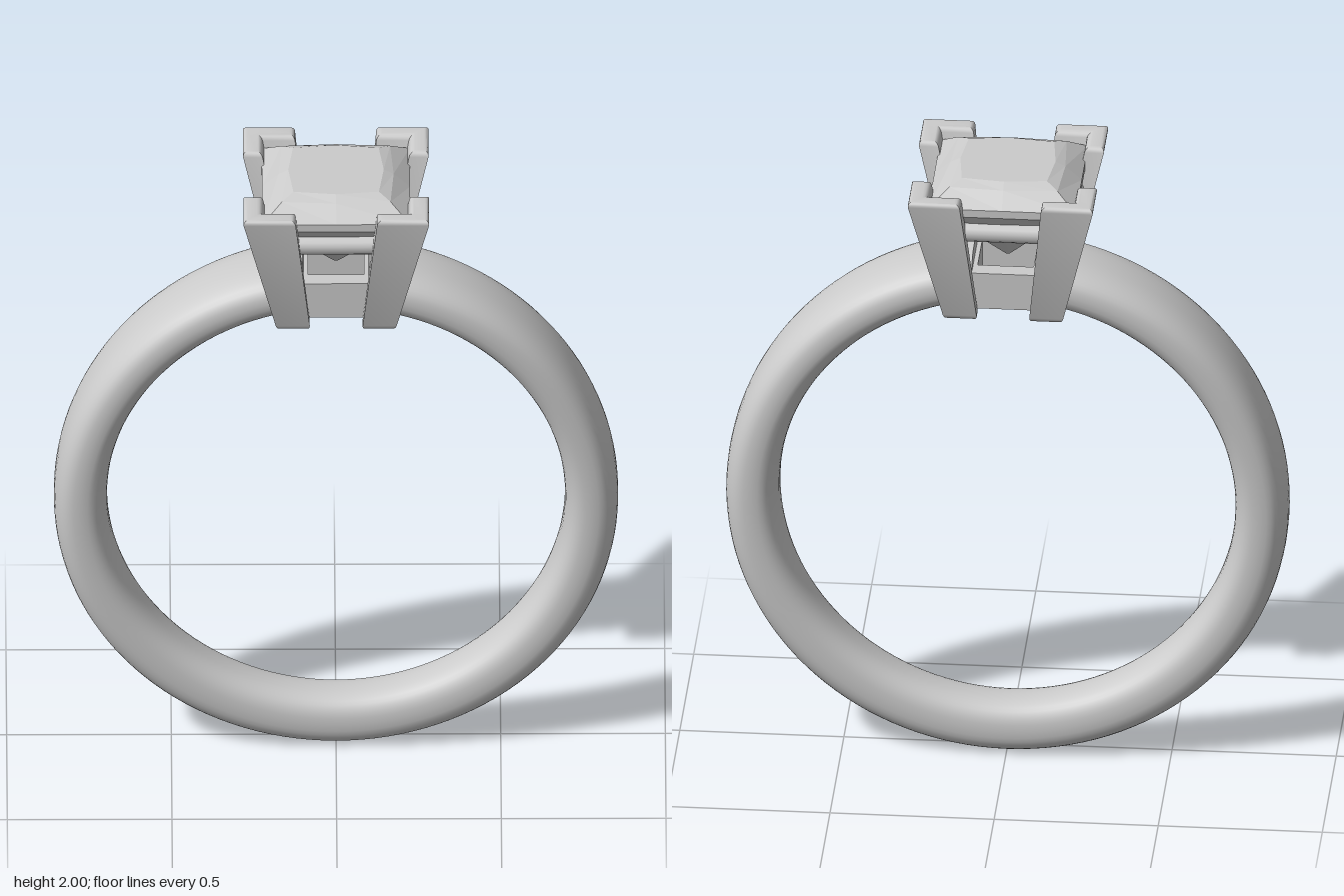
import * as THREE from 'three';
import { toCreasedNormals } from 'three/addons/utils/BufferGeometryUtils.js';

const metal = new THREE.MeshStandardMaterial({ color: 0xcccccc });
const facet = new THREE.MeshStandardMaterial({ color: 0xcccccc, flatShading: true });

// Skins a row of equal-sized cross-sections (arrays of Vector3) and caps both ends.
function loft(rings) {
  const n = rings[0].length, last = rings.length - 1;
  const points = rings.flat(), index = [];
  for (let i = 0; i < last; i++) {
    for (let j = 0; j < n; j++) {
      const k = (j + 1) % n;
      const a = i * n + j, b = i * n + k, c = a + n, d = b + n;
      index.push(a, b, c, b, d, c);
    }
  }
  [0, last].forEach((r) => {
    const centre = new THREE.Vector3();
    rings[r].forEach((p) => centre.addScaledVector(p, 1 / n));
    const m = points.push(centre) - 1;
    for (let j = 0; j < n; j++) {
      const a = r * n + j, b = r * n + (j + 1) % n;
      if (r === 0) index.push(m, b, a);
      else index.push(m, a, b);
    }
  });
  const geo = new THREE.BufferGeometry().setFromPoints(points);
  geo.setIndex(index);
  return geo;
}

// Band: rounded section, wider toward the top, open beneath the setting.
function bandGeometry() {
  const rings = [], steps = 128, sides = 36, gap = 0.12;
  const soft = (v) => Math.sign(v) * Math.pow(Math.abs(v), 0.77);
  for (let i = 0; i <= steps; i++) {
    const a = gap + (i / steps) * (2 * Math.PI - 2 * gap);
    const inner = new THREE.Vector3(0.695 * Math.sin(a), 0.865 + 0.695 * Math.cos(a), 0);
    const outer = new THREE.Vector3(0.857 * Math.sin(a), 0.857 + 0.857 * Math.cos(a), 0);
    const ring = [];
    for (let j = 0; j < sides; j++) {
      const t = (j / sides) * 2 * Math.PI;
      const p = inner.clone().lerp(outer, 0.5 + 0.5 * soft(Math.cos(t)));
      p.z = (0.088 + 0.036 * (inner.y + outer.y) / 2) * soft(Math.sin(t));
      ring.push(p);
    }
    rings.push(ring);
  }
  return toCreasedNormals(loft(rings), 0.8);
}

// Square-cut stone: each level is [height, corner half-width, mid-side half-width].
function stoneGeometry() {
  const levels = [
    [1.68, 0.004, 0.004], [1.76, 0.07, 0.085], [1.87, 0.185, 0.19], [1.915, 0.225, 0.225],
    [1.94, 0.225, 0.225], [1.985, 0.165, 0.175], [2.0, 0.13, 0.145],
  ];
  const rings = levels.map(([y, corner, mid]) => Array.from({ length: 8 }, (_, j) => {
    const t = (j * Math.PI) / 4;
    const r = j % 2 ? corner * Math.SQRT2 : mid;
    return new THREE.Vector3(r * Math.sin(t), y, r * Math.cos(t));
  }));
  const geo = loft(rings).toNonIndexed();
  geo.computeVertexNormals();
  return geo;
}

// Corner prong: L-shaped bar with softened edges, tapering toward the axis below.
function prongGeometry() {
  const o = 0.285, e = 0.125, t = 0.06, b = 0.016, y0 = 1.54, y1 = 1.985;
  const shape = new THREE.Shape([
    [o, o], [e, o], [e, o - t], [o - t, o - t], [o - t, e], [o, e],
  ].map(([x, y]) => new THREE.Vector2(x, y)));
  const geo = new THREE.ExtrudeGeometry(shape, {
    depth: y1 - y0 - 2 * b, bevelThickness: b, bevelSize: b, bevelOffset: -b, bevelSegments: 4,
  });
  geo.rotateX(-Math.PI / 2).translate(0, y0 + b, 0);
  const pos = geo.attributes.position;
  for (let i = 0; i < pos.count; i++) {
    const s = THREE.MathUtils.mapLinear(pos.getY(i), y0, y1, 0.63, 1);
    pos.setX(i, pos.getX(i) * s);
    pos.setZ(i, pos.getZ(i) * s);
  }
  return toCreasedNormals(geo, 0.6);
}

// Square outline used by the base frame.
function square(path, h) {
  return path.moveTo(-h, -h).lineTo(h, -h).lineTo(h, h).lineTo(-h, h).closePath();
}

function baseFrameGeometry() {
  const shape = square(new THREE.Shape(), 0.14);
  shape.holes.push(square(new THREE.Path(), 0.085));
  const geo = new THREE.ExtrudeGeometry(shape, { depth: 0.12, bevelEnabled: false });
  return geo.rotateX(-Math.PI / 2).translate(0, 1.56, 0);
}

// Round-wire rail that carries the stone.
function seatRailGeometry() {
  const a = 0.19, b = 0.155;
  const corners = [[a, -b], [a, b], [b, a], [-b, a], [-a, b], [-a, -b], [-b, -a], [b, -a]];
  const path = new THREE.CatmullRomCurve3(
    corners.map(([x, z]) => new THREE.Vector3(x, 1.85, z)), true, 'catmullrom', 0.15);
  return new THREE.TubeGeometry(path, 96, 0.031, 14, true);
}

export function createModel() {
  const model = new THREE.Group();
  model.name = 'ring';
  const add = (name, geo, material = metal) => {
    const mesh = new THREE.Mesh(geo, material);
    mesh.name = name;
    model.add(mesh);
    return mesh;
  };

  add('band', bandGeometry());
  add('baseFrame', baseFrameGeometry());
  add('seatRail', seatRailGeometry());
  add('stone', stoneGeometry(), facet);

  // Four prongs, one at each corner of the stone
  const prong = prongGeometry();
  ['backLeft', 'backRight', 'frontRight', 'frontLeft'].forEach((corner, i) => {
    add(corner + 'Prong', prong).rotation.y = (i * Math.PI) / 2;
  });
  return model;
}
